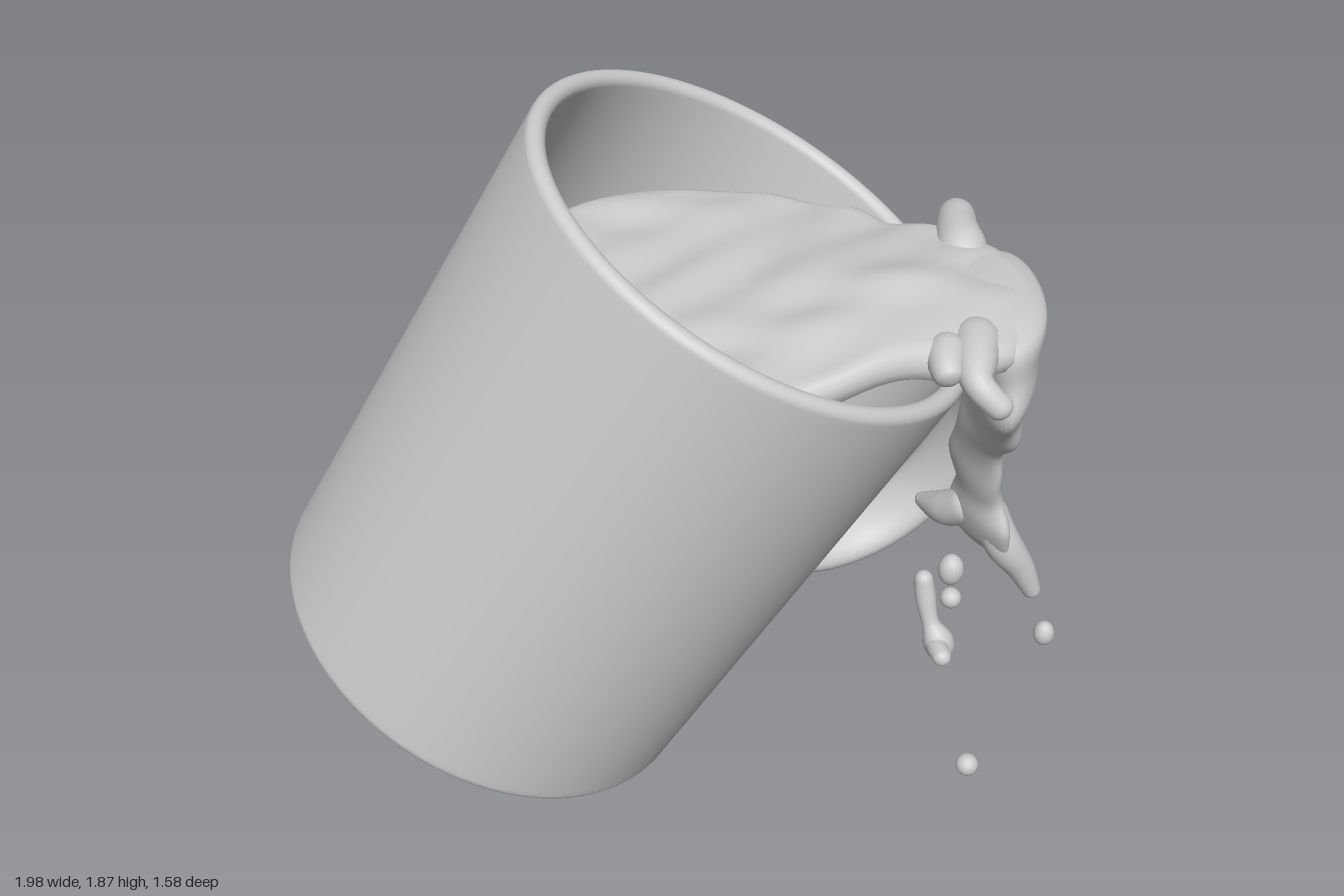
import * as THREE from 'three';

const V = (x, y, z) => new THREE.Vector3(x, y, z);
const material = new THREE.MeshStandardMaterial({ color: 0xcccccc });

function part(name, geometry) {
  const mesh = new THREE.Mesh(geometry, material);
  mesh.name = name;
  return mesh;
}

// Skin a list of equally sized closed rings
function loft(rings) {
  const n = rings[0].length;
  const index = [];
  for (let i = 0; i < rings.length - 1; i++) {
    for (let j = 0; j < n; j++) {
      const a = i * n + j, b = i * n + (j + 1) % n;
      index.push(a, b, a + n, b, b + n, a + n);
    }
  }
  const g = new THREE.BufferGeometry().setFromPoints(rings.flat());
  g.setIndex(index);
  g.computeVertexNormals();
  return g;
}

// Sweep an ellipse along points [x, y, z, radius, sideways radius]
function sweep(points, { ref = V(1, 0, 0), round = true, steps = 32, sides = 20 } = {}) {
  const path = new THREE.CatmullRomCurve3(points.map(p => V(p[0], p[1], p[2])));
  const size = new THREE.CatmullRomCurve3(points.map(p => V(p[3], p[4] ?? p[3], p[0])));
  const length = path.getLength();
  const rings = [];
  for (let i = 0; i <= steps; i++) {
    const t = (1 - Math.cos(Math.PI * i / steps)) / 2;
    const c = path.getPoint(t), s = size.getPoint(t), tangent = path.getTangent(t);
    const N = V().crossVectors(ref, tangent).normalize();
    const B = V().crossVectors(tangent, N);
    const d = Math.min(1, Math.min(t, 1 - t) * length / s.x);
    const k = round ? Math.sqrt(Math.max(0, 1 - (1 - d) ** 2)) : 1;
    rings.push(Array.from({ length: sides }, (_, j) => {
      const a = j / sides * Math.PI * 2;
      return c.clone().addScaledVector(N, s.x * k * Math.cos(a)).addScaledVector(B, s.y * k * Math.sin(a));
    }));
  }
  return loft(rings);
}

function createMug() {
  const mug = new THREE.Group();
  mug.name = 'mug';
  const R = 0.605, H = 1.486, wall = 0.05, f = 0.035;

  // Cup wall, rounded foot and lip, hollow inside
  const profile = [[0, 0], [R - f - 0.01, 0]];
  const arc = (cx, cy, r, from, to, n) => {
    for (let i = 0; i <= n; i++) {
      const a = THREE.MathUtils.degToRad(from + (to - from) * i / n);
      profile.push([cx + r * Math.cos(a), cy + r * Math.sin(a)]);
    }
  };
  arc(R - f, f, f, -90, 0, 6);
  profile.push([R, f + 0.02], [R, H - 0.05]);
  arc(R - wall / 2, H - wall / 2, wall / 2, 0, 180, 12);
  profile.push([R - wall, H - 0.05], [R - wall, 0.12]);
  arc(R - wall - 0.05, 0.11, 0.05, 0, -90, 5);
  profile.push([0, 0.06]);
  mug.add(part('cup', new THREE.LatheGeometry(profile.map(p => new THREE.Vector2(...p)), 96)));

  // Handle, flared where it meets the cup
  const handle = [
    [0.58, 1.195, 0, 0.085, 0.145], [0.625, 1.215, 0, 0.065, 0.12], [0.76, 1.24, 0, 0.052, 0.1],
    [0.94, 1.205, 0, 0.05, 0.1], [1.065, 1.04, 0, 0.05, 0.1], [1.11, 0.76, 0, 0.052, 0.1],
    [1.035, 0.56, 0, 0.056, 0.1], [0.89, 0.455, 0, 0.06, 0.105], [0.72, 0.435, 0, 0.062, 0.11],
    [0.63, 0.44, 0, 0.075, 0.135], [0.58, 0.445, 0, 0.1, 0.165],
  ];
  mug.add(part('handle', sweep(handle, { ref: V(0, 0, 1), round: false, steps: 70, sides: 32 })));

  // Tilt: local x is the handle side, local y the cup axis
  const up = V(0.414, 0.873, 0.259).normalize();
  const side = V(0.906, -0.423, -0.017);
  side.addScaledVector(up, -side.dot(up)).normalize();
  mug.quaternion.setFromRotationMatrix(
    new THREE.Matrix4().makeBasis(side, up, V().crossVectors(side, up)));
  mug.position.set(-0.45, 0.288, -0.22);
  return mug;
}

// Level liquid surface with a rounded edge bulging over the low rim
function createSurface() {
  const outline = new THREE.CatmullRomCurve3([
    [0.77, 0.14], [0.8, 0.34], [0.74, 0.51], [0.64, 0.62], [0.55, 0.67], [0.45, 0.65], [0.33, 0.61],
    [0.1, 0.6], [-0.1, 0.58], [-0.3, 0.49], [-0.45, 0.34], [-0.52, 0.06], [-0.44, -0.21],
    [-0.23, -0.4], [0.07, -0.46], [0.36, -0.35], [0.5, -0.22], [0.6, -0.08], [0.67, 0.05],
  ].map(p => V(p[0], 0, p[1])), true);
  const edge = outline.getPoints(120).slice(0, 120);
  const center = V(0.15, 0, 0.15);
  const section = [];
  for (let i = 0; i <= 20; i++) section.push([0.001 + i * 0.0465, 0]);
  section.push([0.965, -0.008], [0.99, -0.025], [1, -0.045], [0.985, -0.07], [0.95, -0.085], [0.88, -0.09], [0.001, -0.09]);
  return loft(section.map(([k, dy]) => edge.map((e) => {
    const p = center.clone().lerp(e, k);
    const swell = 0.06 * Math.exp(-((p.x - 0.45) ** 2 + (p.z - 0.36) ** 2) / 0.09);
    const ripple = 0.005 * Math.sin(p.x * 17 + 3 * Math.sin(p.z * 9)) + 0.004 * Math.sin(p.z * 31 + p.x * 8);
    p.y = 1.425 + swell + ripple + dy;
    return p;
  })));
}

// Falling sheet: rows of [y, centre x, centre z, half width x, half width z, half thickness]
function createSheet() {
  const rows = [
    [1.465, 0.62, 0.43, -0.08, 0.12, 0.08], [1.42, 0.66, 0.46, -0.125, 0.19, 0.105],
    [1.3, 0.665, 0.48, -0.11, 0.195, 0.085], [1.2, 0.66, 0.485, -0.085, 0.18, 0.065],
    [1.1, 0.675, 0.455, -0.05, 0.155, 0.052], [1.0, 0.69, 0.41, -0.02, 0.11, 0.042],
    [0.9, 0.7, 0.39, 0, 0.105, 0.038], [0.8, 0.72, 0.39, 0, 0.1, 0.036],
    [0.72, 0.735, 0.385, 0, 0.12, 0.045], [0.65, 0.75, 0.38, 0.01, 0.12, 0.042],
    [0.61, 0.76, 0.39, 0.01, 0.08, 0.03],
  ];
  const mid = new THREE.CatmullRomCurve3(rows.map(r => V(r[1], r[0], r[2])));
  const half = new THREE.CatmullRomCurve3(rows.map(r => V(r[3], r[5], r[4])));
  const rings = [], steps = 60, sides = 40;
  for (let i = 0; i <= steps; i++) {
    const t = i / steps, c = mid.getPoint(t), h = half.getPoint(t);
    const w = Math.hypot(h.x, h.z), k = (i === 0 || i === steps) ? 0.001 : 1;
    rings.push(Array.from({ length: sides }, (_, j) => {
      const a = j / sides * Math.PI * 2;
      const wave = k * (1 + 0.05 * Math.sin(c.y * 37 + 2 * Math.sin(a)) + 0.04 * Math.sin(3 * a + c.y * 21));
      const p = wave * Math.cos(a), q = wave * Math.sin(a) * h.y / w;
      return V(c.x + h.x * p - h.z * q, c.y, c.z + h.z * p + h.x * q);
    }));
  }
  return loft(rings);
}

export function createModel() {
  const model = new THREE.Group();
  model.name = 'spillingMug';
  model.add(createMug());

  const liquid = new THREE.Group();
  liquid.name = 'liquid';
  liquid.add(part('liquidSurface', createSurface()), part('fallingSheet', createSheet()));

  // Fingers of liquid: lobes on the rim, ends of the sheet and a loose strand
  const strands = {
    frontLobe: [[0.55, 1.41, 0.52, 0.07], [0.46, 1.42, 0.65, 0.05], [0.43, 1.405, 0.71, 0.036], [0.475, 1.345, 0.775, 0.03]],
    smallLobe: [[0.45, 1.42, 0.55, 0.06], [0.39, 1.42, 0.64, 0.04], [0.38, 1.4, 0.68, 0.03]],
    sideLobe: [[0.68, 1.41, 0.28, 0.08], [0.75, 1.43, 0.13, 0.055], [0.8, 1.42, 0.05, 0.047], [0.82, 1.365, 0.01, 0.04]],
    mainTip: [[0.735, 0.78, 0.41, 0.04], [0.77, 0.65, 0.45, 0.05], [0.83, 0.55, 0.475, 0.038], [0.875, 0.45, 0.495, 0.022]],
    sideTip: [[0.735, 0.74, 0.38, 0.05], [0.71, 0.66, 0.28, 0.05], [0.69, 0.62, 0.165, 0.016]],
    looseStrand: [[0.71, 0.375, 0.205, 0.025], [0.715, 0.3, 0.22, 0.03], [0.72, 0.22, 0.25, 0.025], [0.735, 0.16, 0.28, 0.045], [0.765, 0.08, 0.27, 0.03]],
    strandBranch: [[0.735, 0.15, 0.26, 0.035], [0.71, 0.165, 0.32, 0.03], [0.695, 0.17, 0.375, 0.025]],
  };
  for (const [name, points] of Object.entries(strands)) liquid.add(part(name, sweep(points)));

  // Flying drops: [x, y, z, radius, stretch in y]
  const drops = [
    [0.53, 0.72, 0.565, 0.033, 1.35], [0.515, 0.2, 0.755, 0.03, 1], [0.905, 0.325, 0.525, 0.029, 1.3],
    [0.71, 0.385, 0.345, 0.03, 1], [0.83, 1.16, 0.045, 0.026, 1], [0.805, 1.235, 0.13, 0.027, 1],
  ];
  drops.forEach(([x, y, z, r, stretch], i) => {
    const drop = part('drop' + (i + 1), new THREE.SphereGeometry(r, 16, 12));
    drop.position.set(x, y, z);
    drop.scale.y = stretch;
    liquid.add(drop);
  });

  model.add(liquid);
  return model;
}
